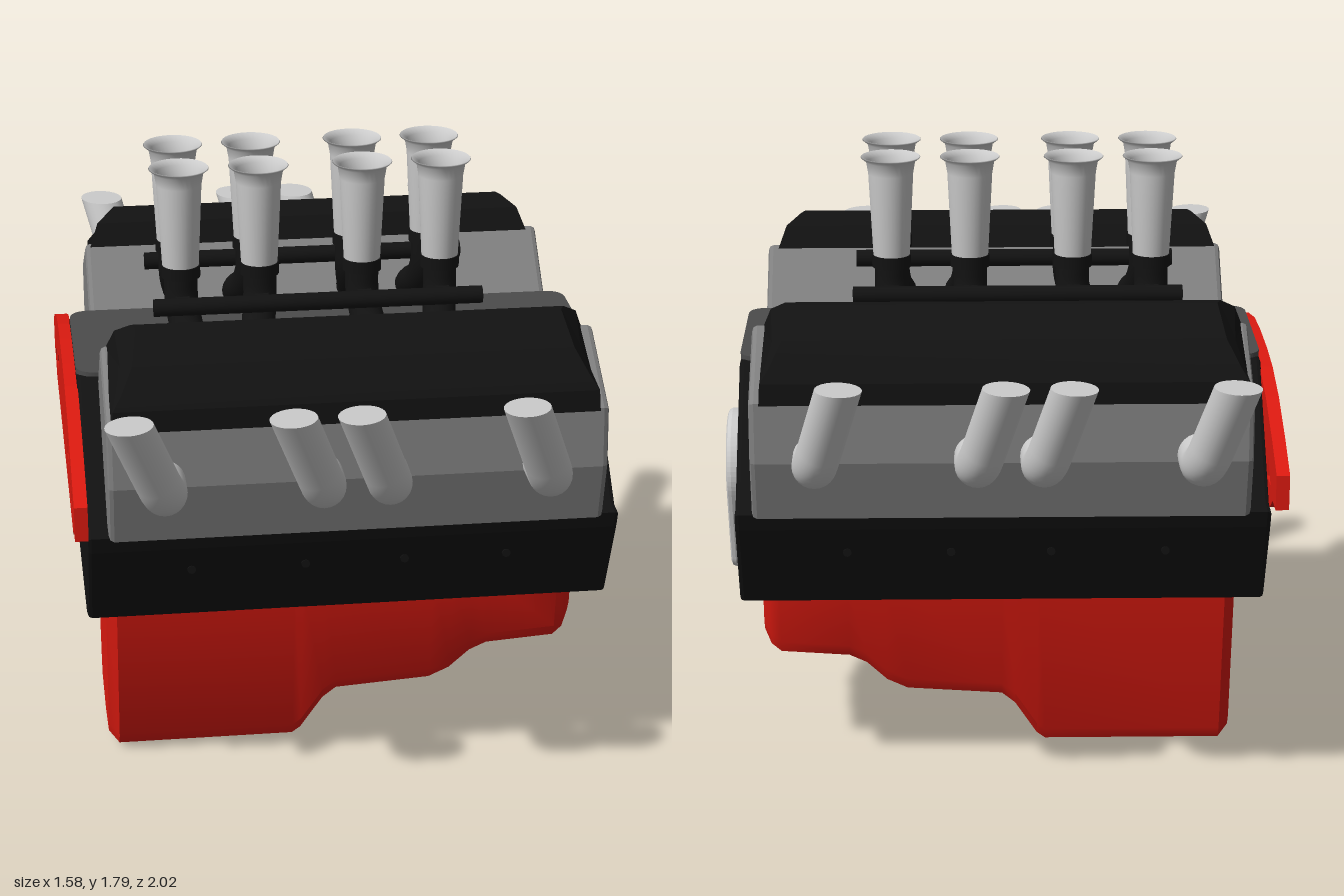
import * as THREE from 'three';
import { toCreasedNormals } from 'three/addons/utils/BufferGeometryUtils.js';

const mat = (color, side = THREE.FrontSide) => new THREE.MeshStandardMaterial({ color, side });
const V = (x, y, z) => new THREE.Vector3(x, y, z);

export function createModel() {
  const model = new THREE.Group();
  const black = mat(0x121212), red = mat(0xdd1a10), iron = mat(0x808080), dark = mat(0x4c4c4c);
  const steel = mat(0xcccccc), steelOpen = mat(0xcccccc, THREE.DoubleSide);

  const add = (name, geometry, material, x = 0, y = 0, z = 0) => {
    const mesh = new THREE.Mesh(geometry, material);
    mesh.name = name;
    mesh.position.set(x, y, z);
    model.add(mesh);
    return mesh;
  };

  // Shape from [z, y] points (shape x is -z so it can be turned onto the x axis)
  const zyShape = (pts) => new THREE.Shape(pts.map(([z, y]) => new THREE.Vector2(-z, y)));

  // Extrude a z-y shape from x0 to x1, bevel kept inside the outline
  const extrudeX = (shape, x0, x1, bevel = 0) => {
    const g = new THREE.ExtrudeGeometry(shape, {
      depth: x1 - x0 - 2 * bevel, bevelEnabled: bevel > 0, bevelThickness: bevel,
      bevelSize: bevel, bevelOffset: -bevel, bevelSegments: 2, curveSegments: 20,
    });
    return g.rotateY(Math.PI / 2).translate(x0 + bevel, 0, 0);
  };

  // Skin closed rings of points and cap both ends
  const loft = (rings, crease = 0.5) => {
    const n = rings[0].length, pts = rings.flat(), idx = [];
    for (let r = 0; r < rings.length - 1; r++) {
      for (let i = 0; i < n; i++) {
        const a = r * n + i, b = r * n + (i + 1) % n;
        idx.push(a, b, b + n, a, b + n, a + n);
      }
    }
    [0, rings.length - 1].forEach((r) => {
      const c = pts.length;
      pts.push(rings[r].reduce((s, p) => s.add(p), V(0, 0, 0)).divideScalar(n));
      for (let i = 0; i < n; i++) {
        const a = r * n + i, b = r * n + (i + 1) % n;
        idx.push(...(r ? [a, b, c] : [b, a, c]));
      }
    });
    // Turn the faces outward if the rings run the other way
    let volume = 0;
    for (let i = 0; i < idx.length; i += 3) {
      volume += pts[idx[i]].dot(pts[idx[i + 1]].clone().cross(pts[idx[i + 2]]));
    }
    if (volume < 0) idx.reverse();
    const g = new THREE.BufferGeometry().setFromPoints(pts);
    g.setIndex(idx);
    return toCreasedNormals(g, crease);
  };

  // Engine block: one symmetrical profile
  const half = [[0.25, 1.235], [0.58, 0.915], [0.64, 0.91], [0.625, 0.86], [0.5, 0.6], [0.42, 0.57]];
  const mirrored = half.map(([z, y]) => [-z, y]).reverse();
  add('engineBlock', extrudeX(zyShape([...half, ...mirrored]), -0.76, 0.73, 0.012), black);
  add('panGasket', new THREE.BoxGeometry(1.47, 0.03, 0.68), red, -0.015, 0.56, 0);
  for (const [z, y] of [[0.37, 0.89], [-0.32, 0.8]]) {
    add('corePlug', new THREE.CylinderGeometry(0.085, 0.085, 0.02, 32).rotateZ(Math.PI / 2), black, 0.725, y, z);
  }

  // Valley cover with rounded corners
  const valley = new THREE.Shape();
  valley.moveTo(-0.70, -0.25).lineTo(0.67, -0.25).quadraticCurveTo(0.73, -0.25, 0.73, -0.19)
    .lineTo(0.73, 0.19).quadraticCurveTo(0.73, 0.25, 0.67, 0.25)
    .lineTo(-0.70, 0.25).quadraticCurveTo(-0.76, 0.25, -0.76, 0.19)
    .lineTo(-0.76, -0.19).quadraticCurveTo(-0.76, -0.25, -0.70, -0.25);
  add('valleyCover', new THREE.ExtrudeGeometry(valley, { depth: 0.02, bevelEnabled: false })
    .rotateX(-Math.PI / 2).translate(0, 1.228, 0), dark);

  // Oil pan: [x, bottom height, side inset] stations
  const panStations = [
    [-0.70, 0.04, 0.03], [-0.67, 0.01, 0], [-0.15, 0.01, 0], [-0.125, 0.03, 0], [-0.06, 0.135, 0],
    [-0.02, 0.17, 0], [0.26, 0.19, 0], [0.32, 0.22, 0], [0.38, 0.28, 0], [0.43, 0.305, 0],
    [0.63, 0.32, 0], [0.66, 0.34, 0.015], [0.68, 0.38, 0.045],
  ];
  add('oilPan', loft(panStations.map(([x, b, inset]) => {
    const w = (y) => 0.215 + 0.17 * y - inset;
    const side = [[w(0.56), 0.56], [w(b + 0.06), b + 0.06], [w(b) - 0.012, b + 0.022]];
    return [...side.map(([z, y]) => V(x, y, z)), V(x, b, 0),
      ...side.reverse().map(([z, y]) => V(x, y, -z))];
  }), 0.6), red);

  // Rear mounting plate: arched top with triangular cut-outs
  const plate = zyShape([[0.735, 1.05], [0.735, 0.95], [0.66, 0.95], [0.6, 0.91], [-0.6, 0.91],
    [-0.66, 0.95], [-0.735, 0.95], [-0.735, 1.05], [-0.6, 1.11], [-0.42, 1.175], [-0.25, 1.21],
    [-0.1, 1.22], [0.1, 1.22], [0.25, 1.21], [0.42, 1.175], [0.6, 1.11]]);
  for (const s of [1, -1]) {
    for (const [z, y, r] of [[0.56, 1.0, 0.045], [0.36, 1.06, 0.05]]) {
      plate.holes.push(new THREE.Path([[r, -r * 0.6], [-r, -r * 0.6], [-r, r * 0.8]]
        .map(([dz, dy]) => new THREE.Vector2(s * (z + dz), y + dy))));
    }
  }
  add('rearPlate', extrudeX(plate, -0.795, -0.758), red);

  // Teardrop timing cover: a base flange and a raised body
  const teardrop = (grow) => {
    const s = new THREE.Shape(), R = 0.17 + grow, r = 0.075 + grow, tilt = 0.37;
    s.absarc(-0.01, 0.845, R, -tilt, Math.PI + tilt, false);
    s.absarc(-0.01, 0.575, r, Math.PI + tilt, 2 * Math.PI - tilt, false);
    return s;
  };
  add('timingCoverFlange', extrudeX(teardrop(0), 0.72, 0.75), steel);
  add('timingCover', extrudeX(teardrop(-0.012), 0.74, 0.788, 0.015), steel);

  const intakes = [[-0.45, 0.025], [-0.225, -0.025], [0.07, 0.025], [0.295, -0.02]]; // x, lean of elbow
  const exhausts = [-0.55, -0.12, 0.06, 0.5];
  const trumpetProfile = [[0.04, 1.52], [0.052, 1.505], [0.064, 1.75], [0.07, 1.785], [0.085, 1.797],
    [0.083, 1.8], [0.064, 1.785], [0.055, 1.74], [0.042, 1.53]].map((p) => new THREE.Vector2(...p));

  for (const s of [1, -1]) {
    // Cylinder head
    const head = [[0.69, 1.25], [0.43, 1.395], [0.24, 1.225], [0.56, 0.905], [0.655, 0.905], [0.7, 1.08]];
    add('cylinderHead', extrudeX(zyShape(head.map(([z, y]) => [s * z, y])), -0.7, 0.68, 0.015), iron);

    // Valve cover: the ends lean in with height above the head face
    const cover = [[0.71, 1.25], [0.705, 1.31], [0.685, 1.345], [0.63, 1.41], [0.52, 1.48],
      [0.495, 1.48], [0.455, 1.45], [0.42, 1.385]];
    const ring = (end, dir) => cover.map(([z, y]) => {
      const h = (z - 0.71) * 0.42 + (y - 1.26) * 0.907;
      return V(end + dir * Math.max(0, h - 0.04), y, s * z);
    });
    add('valveCover', loft([ring(-0.685, 1), ring(0.65, -1)], 0.3), black);

    // Exhaust stubs, trimmed level at the top and capped
    for (const x of exhausts) {
      const dx = s > 0 ? -0.1 : -0.075, top = 1.37, n = 24, rings = 28;
      const path = new THREE.CurvePath();
      const a = V(x, 1.1, s * 0.62), b = V(x, 1.1, s * 0.76), bend = V(x, 1.1, s * 0.82);
      const tip = V(x + dx, top, s * 0.945);
      const c = bend.clone().lerp(tip, 0.25);
      path.add(new THREE.LineCurve3(a, b));
      path.add(new THREE.QuadraticBezierCurve3(b, bend, c));
      path.add(new THREE.LineCurve3(c, tip));
      const tube = new THREE.TubeGeometry(path, rings, 0.061, n);
      const dir = tip.clone().sub(c), pos = tube.attributes.position, rim = [];
      for (let r = rings - 3; r <= rings; r++) {
        for (let i = 0; i <= n; i++) {
          const k = r * (n + 1) + i, p = V(0, 0, 0).fromBufferAttribute(pos, k);
          if (r === rings || p.y > top) p.addScaledVector(dir, (top - p.y) / dir.y);
          pos.setXYZ(k, p.x, p.y, p.z);
          if (r === rings) rim.push(p);
        }
      }
      add('exhaustPipe', tube, steelOpen);
      const lid = new THREE.Shape(rim.slice(0, n).map((p) => new THREE.Vector2(p.x, -p.z)));
      add('exhaustEnd', new THREE.ShapeGeometry(lid).rotateX(-Math.PI / 2), steelOpen, 0, top, 0);
    }

    // Intake trumpets on curved black runners
    for (const [x, lean] of intakes) {
      const z = s * 0.112;
      add('intakeTrumpet', new THREE.LatheGeometry(trumpetProfile, 32), steelOpen, x, 0, z);
      add('trumpetThroat', new THREE.CylinderGeometry(0.042, 0.042, 0.03, 24), black, x, 1.525, z);
      add('trumpetCollar', new THREE.CylinderGeometry(0.056, 0.056, 0.035, 24), black, x, 1.495, z);
      const runner = new THREE.CatmullRomCurve3([V(x, 1.49, z), V(x, 1.41, s * 0.122),
        V(x + lean * 0.4, 1.345, s * 0.17), V(x + lean, 1.3, s * 0.25), V(x + lean, 1.26, s * 0.32)]);
      add('intakeRunner', new THREE.TubeGeometry(runner, 20, 0.048, 20), black);
      add('railMount', new THREE.BoxGeometry(0.04, 0.035, 0.09), black, x, 1.415, s * 0.17);
    }
    add('fuelRail', new THREE.CylinderGeometry(0.025, 0.025, 0.94, 20).rotateZ(Math.PI / 2), black,
      -0.065, 1.415, s * 0.2);

    // Skirt bolts
    for (const x of [-0.47, -0.15, 0.13, 0.42]) {
      add('skirtBolt', new THREE.CylinderGeometry(0.012, 0.012, 0.02, 12).rotateX(Math.PI / 2), black,
        x, 0.78, s * 0.585);
    }
  }
  return model;
}
